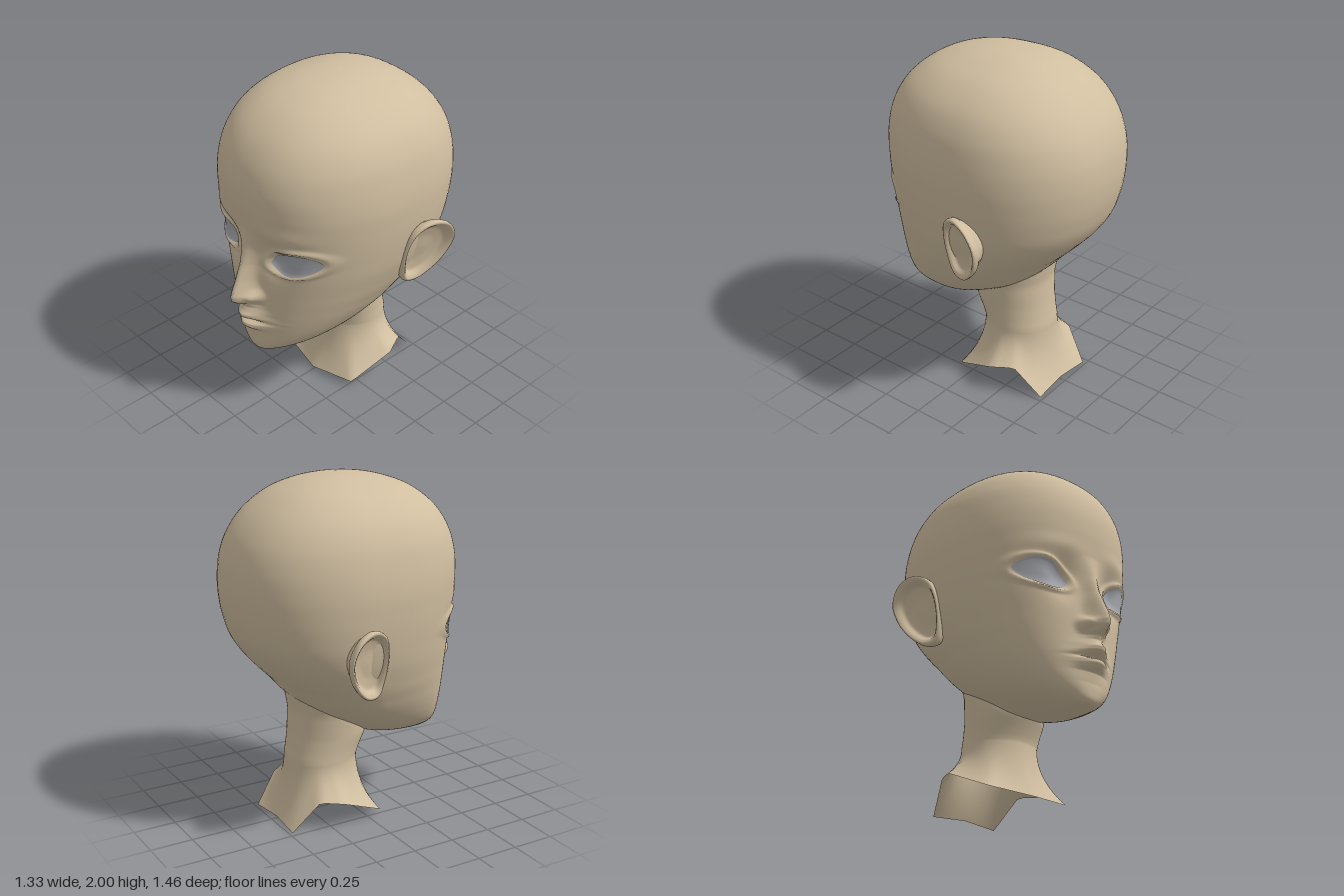
import * as THREE from 'three';

const N = 2.25; // squareness of the head's cross-sections

// Head sections from chin to crown: y, half width, front z, back z, z of widest point
const SECTIONS = [
  [0.415, 0, 0.46, 0.46, 0.46], [0.422, 0.07, 0.54, 0.32, 0.45], [0.445, 0.13, 0.572, 0.2, 0.38],
  [0.49, 0.215, 0.583, 0.03, 0.29], [0.54, 0.28, 0.585, -0.06, 0.22], [0.6, 0.335, 0.583, -0.17, 0.16],
  [0.66, 0.378, 0.583, -0.27, 0.11], [0.72, 0.415, 0.584, -0.34, 0.06], [0.78, 0.445, 0.585, -0.4, 0.02],
  [0.84, 0.474, 0.586, -0.45, -0.02], [0.9, 0.497, 0.588, -0.51, -0.05], [1.0, 0.53, 0.592, -0.6, -0.08],
  [1.1, 0.552, 0.597, -0.665, -0.1], [1.2, 0.567, 0.603, -0.7, -0.1], [1.3, 0.576, 0.612, -0.72, -0.1],
  [1.42, 0.58, 0.625, -0.727, -0.1], [1.55, 0.567, 0.62, -0.713, -0.1], [1.68, 0.535, 0.58, -0.665, -0.09],
  [1.8, 0.468, 0.5, -0.575, -0.08], [1.9, 0.355, 0.375, -0.45, -0.07], [1.96, 0.225, 0.23, -0.32, -0.06],
  [1.99, 0.11, 0.08, -0.19, -0.06], [2.0, 0, -0.06, -0.06, -0.06],
];
// Mouth and nose ridge along the middle: y, height, half width
const RIDGE = [
  [0.53, 0, 0.1], [0.59, 0.012, 0.09], [0.61, 0.045, 0.09], [0.63, 0.065, 0.095], [0.65, 0.06, 0.1],
  [0.668, 0.016, 0.11], [0.682, 0.045, 0.11], [0.7, 0.078, 0.095], [0.72, 0.085, 0.085], [0.74, 0.066, 0.085],
  [0.765, 0.052, 0.075], [0.79, 0.065, 0.06], [0.81, 0.11, 0.055], [0.835, 0.138, 0.054], [0.865, 0.144, 0.052],
  [0.9, 0.132, 0.047], [0.95, 0.108, 0.042], [1.05, 0.06, 0.04], [1.15, 0.028, 0.045], [1.27, 0, 0.06],
];
// Torn-off lower edge of the neck, front to back: turn (0-1), x, y, z
const NECK_EDGE = [
  [0, 0, 0.02, 0.13], [0.27, 0.28, 0.04, 0.07], [0.53, 0.34, 0.16, -0.2],
  [0.66, 0.28, 0.175, -0.33], [0.8, 0.22, 0.0, -0.48], [1, 0, 0.015, -0.47],
];
// Neck sections: y, half width, front z, back z
const NECK = [
  [0.36, 0.215, 0.035, -0.385], [0.42, 0.215, 0.06, -0.375], [0.5, 0.222, 0.1, -0.365],
  [0.65, 0.235, 0.09, -0.355], [0.75, 0.25, 0.05, -0.37], [0.88, 0.27, 0, -0.4],
];

// Linear lookup in a table sorted by its first column
function lookup(table, k) {
  let i = 0;
  while (i < table.length - 2 && k > table[i + 1][0]) i++;
  const a = table[i], b = table[i + 1];
  const f = THREE.MathUtils.clamp((k - a[0]) / (b[0] - a[0]), 0, 1);
  return a.map((v, c) => v + (b[c] - v) * f);
}

// Grid surface from fn(row 0-1, column 0-1) => [x, y, z]
function surface(rows, cols, fn, { closed = true, flip = false } = {}) {
  const pos = [], index = [], n = closed ? cols : cols + 1;
  for (let i = 0; i <= rows; i++) for (let j = 0; j < n; j++) pos.push(...fn(i / rows, j / cols));
  for (let i = 0; i < rows; i++) for (let j = 0; j < cols; j++) {
    const a = i * n + j, b = i * n + (j + 1) % n, c = a + n, d = b + n;
    if (flip) index.push(a, c, b, b, c, d);
    else index.push(a, b, c, b, d, c);
  }
  const g = new THREE.BufferGeometry();
  g.setAttribute('position', new THREE.Float32BufferAttribute(pos, 3));
  g.setIndex(index);
  g.computeVertexNormals();
  return g;
}

const spline = (cols) => new THREE.CatmullRomCurve3(
  SECTIONS.map((s) => new THREE.Vector3(s[cols[0]], s[cols[1]], s[cols[2]])), false, 'catmullrom');
const sideCurve = spline([1, 0, 2]), backCurve = spline([3, 0, 4]);
function section(t) {
  const a = sideCurve.getPoint(t), b = backCurve.getPoint(t);
  return { y: a.y, w: Math.max(a.x, 0), front: a.z, back: b.x, mid: b.z };
}

const bump = (x, y, cx, cy, sx, sy) => Math.exp(-(((x - cx) / sx) ** 2) - ((y - cy) / sy) ** 2);

// Almond eye outline
const EYE = { x: 0.28, y: 1.12, half: 0.142, up: 0.084, down: 0.07 };
const eyeMid = (x) => EYE.y + 0.2 * (x - EYE.x);
function eyeDistance(x, y) {
  const dy = y - eyeMid(x);
  return Math.hypot((x - EYE.x) / EYE.half, dy / (dy > 0 ? EYE.up : EYE.down));
}

// Relief of the face, added along z
function relief(x, y) {
  x = Math.abs(x);
  const [, h, w] = lookup(RIDGE, y);
  let z = h * Math.exp(-((x / w) ** 2));
  z += 0.05 * bump(x, y, 0.072, 0.852, 0.03, 0.035); // nostril wings
  z -= 0.055 * bump(x, y, 0.17, 1.12, 0.09, 0.11); // eye sockets
  z += 0.012 * bump(x, y, 0.25, 1.3, 0.16, 0.05); // brows
  const d = eyeDistance(x, y);
  z += 0.018 * Math.exp(-(((d - 1.16) / 0.16) ** 2)); // eyelids
  z -= 0.012 * Math.exp(-((d / 0.8) ** 4));
  return z;
}

function headPoint(i, j) {
  const s = section(i), u = j * 2 - 1;
  const a = Math.PI * (0.4 * u + 0.6 * u ** 3); // more columns on the face
  const sn = Math.sin(a), cs = Math.cos(a);
  const x = s.w * Math.sign(sn) * Math.abs(sn) ** (2 / N);
  const r = Math.abs(cs) ** (2 / N);
  const z = cs > 0 ? s.mid + (s.front - s.mid) * r + relief(x, s.y) * Math.min(1, cs * 4)
    : s.mid + (s.back - s.mid) * r;
  return [x, s.y, z];
}

// z of the face at a given x and y
function faceZ(x, y) {
  let lo = 0, hi = 1;
  for (let k = 0; k < 30; k++) {
    const m = (lo + hi) / 2;
    if (section(m).y < y) lo = m; else hi = m;
  }
  const s = section(lo);
  const r = Math.max(0, 1 - Math.abs(x / s.w) ** N) ** (1 / N);
  return s.mid + (s.front - s.mid) * r + relief(x, y);
}

function neckPoint(i, j) {
  const a = j * Math.PI * 2, turn = 1 - Math.abs(1 - 2 * j);
  const ring = (y) => {
    const [, w, f, b] = lookup(NECK, y);
    return [w * Math.sin(a), y, (f + b) / 2 + (f - b) / 2 * Math.cos(a)];
  };
  if (i >= 0.5) return ring(0.36 + (i - 0.5) * 2 * 0.52);
  const s = i * 2, p = ring(0.36), flare = (1 - s) ** 2.1;
  const [, ex, ey, ez] = lookup(NECK_EDGE, turn);
  const x = j > 0.5 ? -ex : ex;
  return [p[0] + (x - p[0]) * flare, ey + (p[1] - ey) * s, p[2] + (ez - p[2]) * flare];
}

// Ear outline (z, y) and its rings from root over the rim into the bowl: scale, outward shift
const EAR = new THREE.CatmullRomCurve3([
  [-0.09, 1.2], [-0.15, 1.25], [-0.22, 1.26], [-0.3, 1.22], [-0.348, 1.12], [-0.32, 1.0],
  [-0.25, 0.9], [-0.17, 0.845], [-0.1, 0.85], [-0.065, 0.95], [-0.06, 1.1],
].map(([z, y]) => new THREE.Vector3(0, y, z)), true);
const EAR_RINGS = [
  [0, 0.62, -0.14], [0.15, 0.82, -0.07], [0.3, 0.97, -0.035], [0.4, 1, -0.01], [0.48, 0.98, 0.008],
  [0.56, 0.92, 0.012], [0.66, 0.83, 0], [0.76, 0.72, -0.03], [0.88, 0.4, -0.04], [1, 0, -0.036],
];
function earPoint(side, i, j) {
  const p = EAR.getPoint(j), [, k, dx] = lookup(EAR_RINGS, i);
  const z = -0.19 + (p.z + 0.19) * k, y = 1.06 + (p.y - 1.06) * k;
  return [side * (0.56 + 0.32 * (-0.1 - z) + 0.2 * (y - 1.05) + dx), y, z];
}

function eyePoint(side, i, j) {
  const q = j * 2 - 1, x = EYE.x + EYE.half * q, h = Math.max(0, 1 - q * q) ** 0.7;
  const low = -EYE.down * h, y = eyeMid(x) + low + (EYE.up * h - low) * i;
  const d = Math.min(1, eyeDistance(x, y));
  return [side * x, y, faceZ(x, y) + 0.006 + 0.01 * (1 - d * d)];
}

export function createModel() {
  const skin = new THREE.MeshStandardMaterial({ color: 0xd0bea0, side: THREE.DoubleSide });
  skin.name = 'skin';
  const grey = new THREE.MeshStandardMaterial({ color: 0xa8aab0, side: THREE.DoubleSide });
  grey.name = 'eyeGrey';

  const model = new THREE.Group();
  model.name = 'mannequinHead';
  const add = (name, geometry, material) => {
    const mesh = new THREE.Mesh(geometry, material);
    mesh.name = name;
    model.add(mesh);
  };

  add('head', surface(264, 128, headPoint), skin);
  add('neck', surface(40, 60, neckPoint), skin);
  for (const side of [1, -1]) {
    const label = side > 0 ? 'left' : 'right';
    add(label + 'Ear', surface(36, 56, (i, j) => earPoint(side, i, j), { flip: side > 0 }), skin);
    add(label + 'Eye', surface(14, 28, (i, j) => eyePoint(side, i, j), { closed: false, flip: side < 0 }), grey);
  }
  return model;
}
